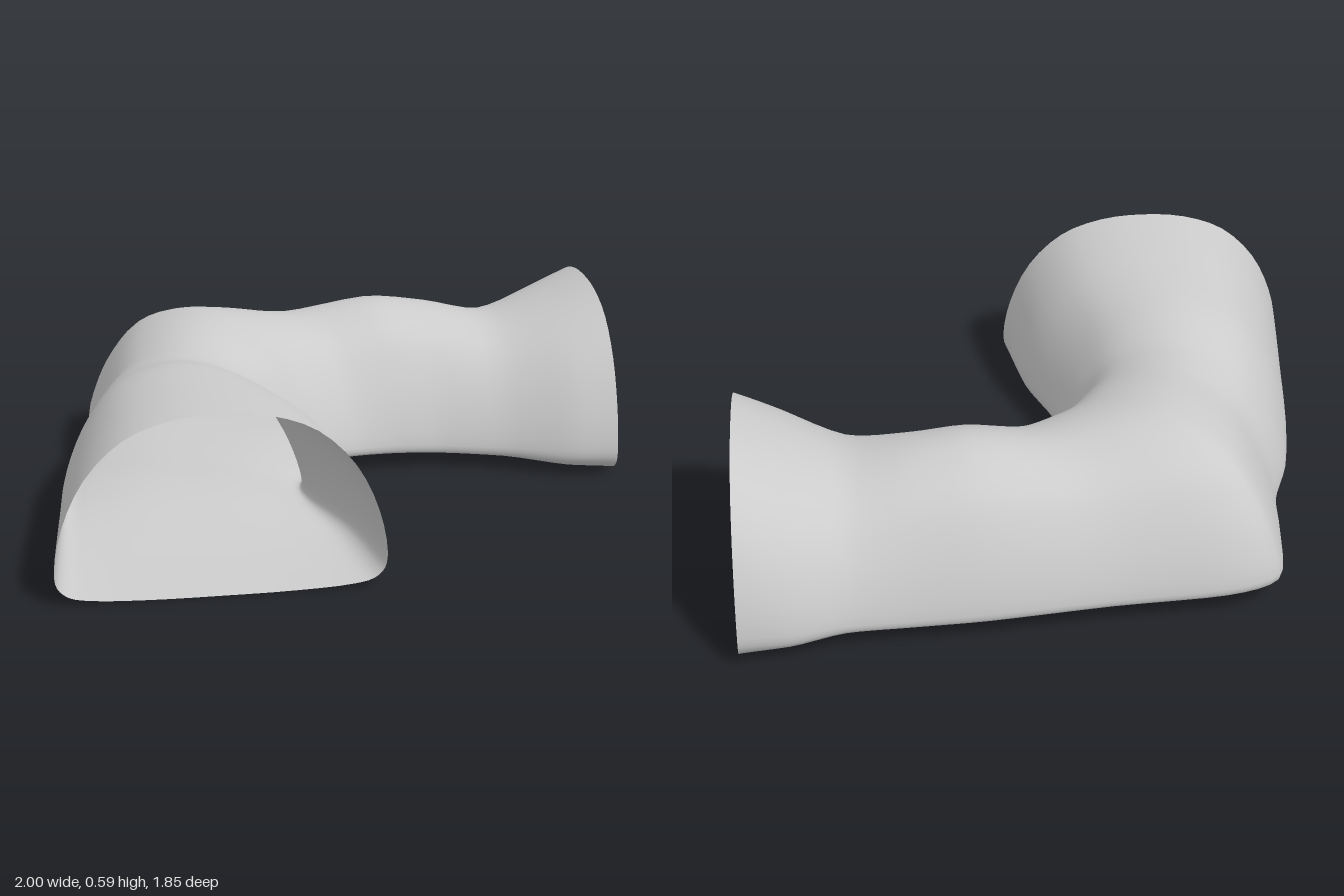
import * as THREE from 'three';

// Stations along the bend: outer wall x, z, inner wall x, z, floor edge y, roof y
const STATIONS = [
  [-1.0, 0.92, 0.03, 0.92, 0.0, 0.59],
  [-0.96, 0.55, -0.02, 0.61, 0.02, 0.575],
  [-0.925, 0.22, -0.1, 0.37, 0.045, 0.555],
  [-0.88, -0.04, -0.125, 0.23, 0.055, 0.505],
  [-0.81, -0.25, -0.11, 0.14, 0.055, 0.505],
  [-0.785, -0.5, -0.06, 0.06, 0.06, 0.53],
  [-0.745, -0.71, 0.0, -0.01, 0.065, 0.54],
  [-0.57, -0.78, 0.06, -0.045, 0.065, 0.52],
  [-0.2, -0.8, 0.14, -0.075, 0.06, 0.485],
  [0.2, -0.84, 0.26, -0.09, 0.055, 0.52],
  [0.45, -0.848, 0.42, -0.08, 0.05, 0.495],
  [0.66, -0.86, 0.63, -0.015, 0.04, 0.455],
  [0.84, -0.91, 0.84, 0.08, 0.015, 0.52],
  [1.0, -0.93, 1.0, 0.105, 0.0, 0.59],
];

// Half sections, floor centre to roof centre (half-width, height):
// a round arch at the mouths, and in the bend a crowned floor with leaning walls
const MOUTH = [
  [0, 0], [0.45, 0.003], [0.8, 0.02], [0.92, 0.045], [0.985, 0.1], [1, 0.19],
  [0.95, 0.42], [0.81, 0.68], [0.58, 0.88], [0.3, 0.975], [0, 1],
];
const BEND = [
  [0, 0.09], [0.45, 0.08], [0.8, 0.035], [0.93, 0.01], [0.985, 0.02], [1, 0.08],
  [0.92, 0.33], [0.78, 0.58], [0.58, 0.81], [0.3, 0.95], [0, 1],
];

function curve(points) {
  return new THREE.CatmullRomCurve3(points, false, 'catmullrom', 0.4);
}

// Full closed ring, mirrored from a half section
function sectionRing(half) {
  const mirrored = half.slice(1, -1).reverse().map(([w, h]) => [-w, h]);
  const points = [...half, ...mirrored].map(([w, h]) => new THREE.Vector3(w, h, 0));
  const ring = new THREE.CatmullRomCurve3(points, true, 'centripetal');
  const count = points.length * 3;
  return Array.from({ length: count }, (_, i) => ring.getPoint(i / count));
}

// Sweep the blended section between the outer and inner walls
function tunnelGeometry() {
  const outer = curve(STATIONS.map((s) => new THREE.Vector3(s[0], s[4], s[1])));
  const inner = curve(STATIONS.map((s) => new THREE.Vector3(s[2], s[5], s[3])));
  const mouth = sectionRing(MOUTH);
  const bend = sectionRing(BEND);
  const n = mouth.length;
  const steps = (STATIONS.length - 1) * 4;
  const positions = [];
  const index = [];
  for (let i = 0; i <= steps; i++) {
    const u = i / steps;
    const a = outer.getPoint(u); // y holds the floor height
    const b = inner.getPoint(u); // y holds the roof height
    const blend = THREE.MathUtils.smoothstep(Math.min(u, 1 - u), 0, 0.25);
    for (let j = 0; j < n; j++) {
      const p = mouth[j].clone().lerp(bend[j], blend);
      const t = (p.x + 1) / 2;
      positions.push(
        THREE.MathUtils.lerp(a.x, b.x, t),
        THREE.MathUtils.lerp(a.y, b.y, p.y),
        THREE.MathUtils.lerp(a.z, b.z, t),
      );
    }
  }
  for (let i = 0; i < steps; i++) {
    for (let j = 0; j < n; j++) {
      const k = (j + 1) % n;
      const a = i * n + j, b = i * n + k, c = a + n, d = b + n;
      index.push(a, c, b, b, c, d);
    }
  }
  const geometry = new THREE.BufferGeometry();
  geometry.setAttribute('position', new THREE.Float32BufferAttribute(positions, 3));
  geometry.setIndex(index);
  geometry.computeVertexNormals();
  return geometry;
}

export function createModel() {
  const group = new THREE.Group();
  group.name = 'tunnelCorner';
  const material = new THREE.MeshStandardMaterial({ color: 0xcccccc, side: THREE.DoubleSide });
  const tunnel = new THREE.Mesh(tunnelGeometry(), material);
  tunnel.name = 'tunnelShell';
  group.add(tunnel);
  return group;
}
